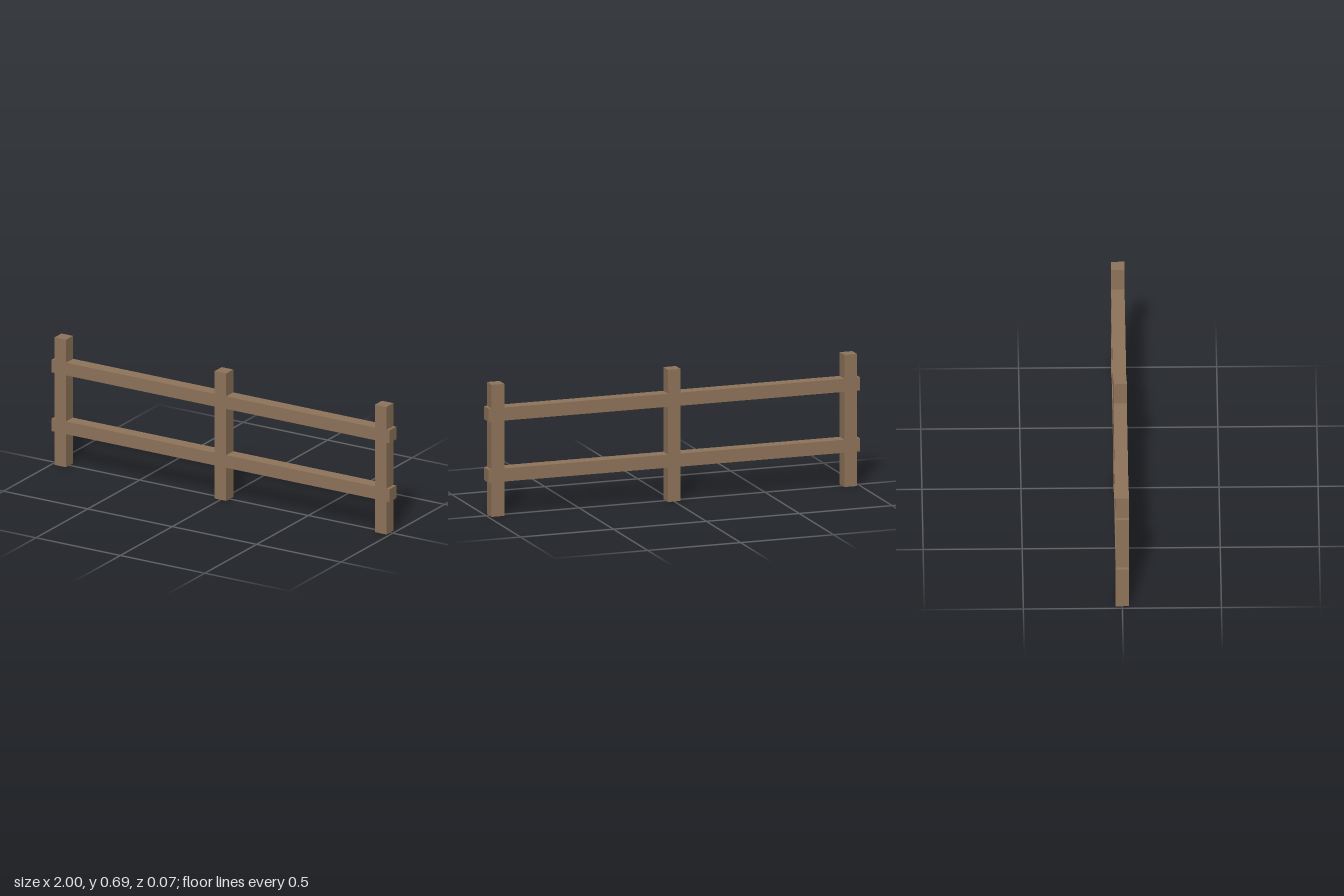
import * as THREE from 'three';

const T = 0.068; // square timber thickness
const HEIGHT = 0.685;
const LENGTH = 2;

export function createModel() {
  const fence = new THREE.Group();
  fence.name = 'fence';
  const wood = new THREE.MeshStandardMaterial({ color: 0x8f745a });

  const addTimber = (name, width, height, x, y) => {
    const mesh = new THREE.Mesh(new THREE.BoxGeometry(width, height, T), wood);
    mesh.name = name;
    mesh.position.set(x, y, 0);
    fence.add(mesh);
  };

  // Three upright posts
  const posts = { rightPost: -0.949, middlePost: 0, leftPost: 0.949 };
  for (const [name, x] of Object.entries(posts)) {
    addTimber(name, T, HEIGHT, x, HEIGHT / 2);
  }

  // Two rails, flush with the posts and protruding slightly past the ends
  const rails = { lowerRail: 0.212, upperRail: 0.528 };
  for (const [name, y] of Object.entries(rails)) {
    addTimber(name, LENGTH, T, 0, y);
  }

  return fence;
}
